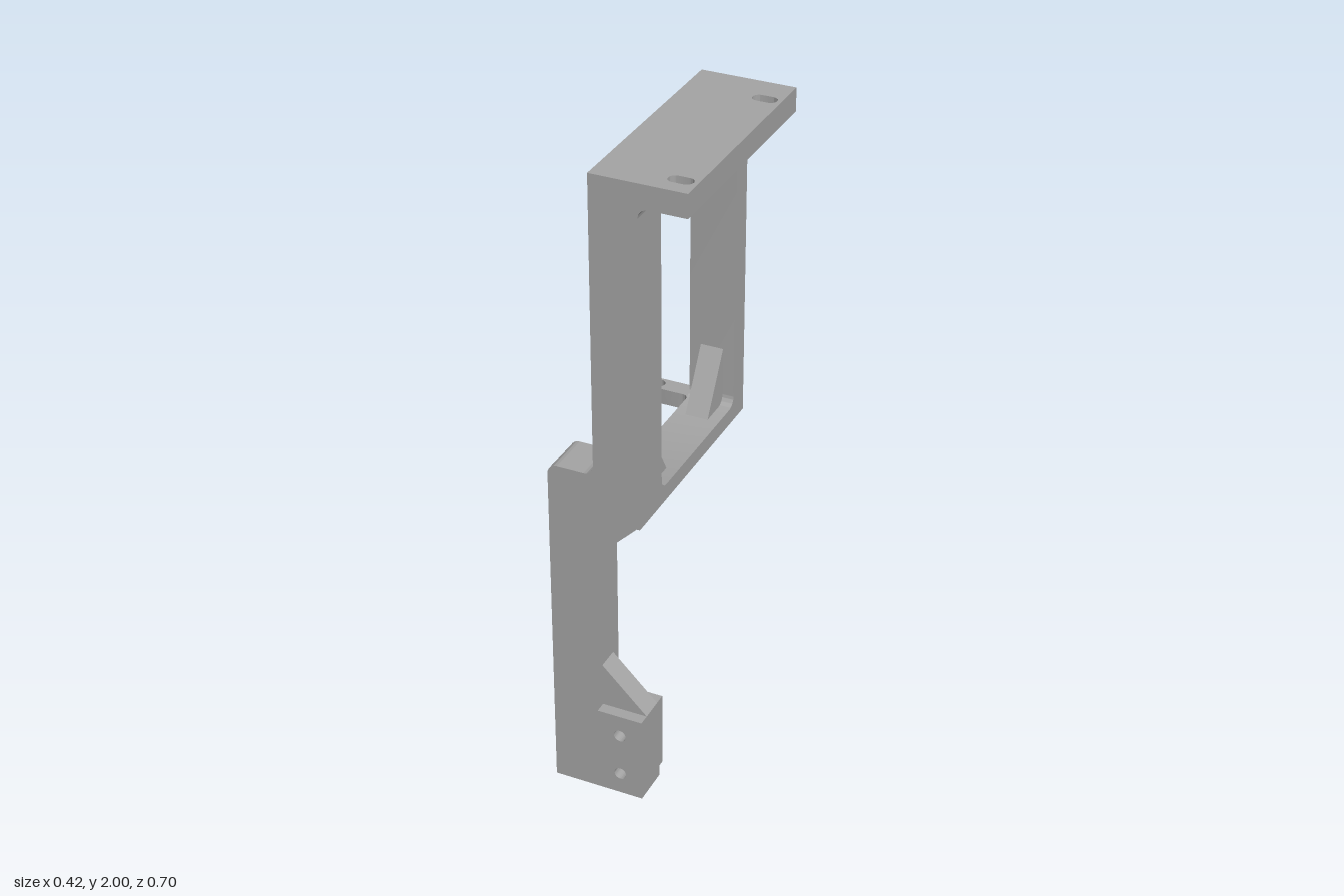
import * as THREE from 'three';
import { toCreasedNormals } from 'three/addons/utils/BufferGeometryUtils.js';

const grey = new THREE.MeshStandardMaterial({ color: 0xa5a5a5 });
grey.name = 'machined grey';

const polygon = (pts) => new THREE.Shape(pts.map(([x, y]) => new THREE.Vector2(x, y)));

function circle(x, y, r) {
  return new THREE.Path().absarc(x, y, r, 0, Math.PI * 2, true);
}

function roundedRect(x0, y0, x1, y1, r) {
  const p = new THREE.Path();
  p.absarc(x1 - r, y1 - r, r, 0, Math.PI / 2);
  p.absarc(x0 + r, y1 - r, r, Math.PI / 2, Math.PI);
  p.absarc(x0 + r, y0 + r, r, Math.PI, Math.PI * 1.5);
  p.absarc(x1 - r, y0 + r, r, Math.PI * 1.5, Math.PI * 2);
  p.closePath();
  return p;
}

// Extrudes a shape from "from" to "to" along an axis.
// Shape coordinates: z -> (x, y), x -> (-z, y), y -> (x, -z).
function solid(name, shape, axis, from, to) {
  let g = new THREE.ExtrudeGeometry(shape, { depth: to - from, bevelEnabled: false, curveSegments: 12 });
  g.translate(0, 0, from);
  if (axis === 'x') g.rotateY(Math.PI / 2);
  if (axis === 'y') g.rotateX(-Math.PI / 2);
  g = toCreasedNormals(g, 0.5);
  const mesh = new THREE.Mesh(g, grey);
  mesh.name = name;
  return mesh;
}

export function createModel() {
  const group = new THREE.Group();
  group.name = 'bracket';

  // Upper frame with rounded opening
  const frame = polygon([[-0.35, 0.95], [0.35, 0.95], [0.35, 2], [-0.35, 2]]);
  frame.holes.push(roundedRect(-0.21, 1.0, 0.28, 1.93, 0.03));
  group.add(solid('frame', frame, 'x', -0.07, 0.07));

  // Top flange with two slots
  const flange = polygon([[0.07, -0.35], [0.21, -0.35], [0.21, 0.35], [0.07, 0.35]]);
  for (const z of [-0.247, 0.287]) flange.holes.push(roundedRect(0.126, -z - 0.0195, 0.197, -z + 0.0195, 0.0194));
  group.add(solid('topFlange', flange, 'y', 1.93, 2));

  // Fillets beneath the flange, one per upright
  const fillet = new THREE.Shape();
  fillet.moveTo(0.07, 1.93);
  fillet.lineTo(0.07, 1.9);
  fillet.absarc(0.1, 1.9, 0.03, Math.PI, Math.PI / 2, true);
  fillet.closePath();
  group.add(solid('frontFlangeFillet', fillet, 'z', 0.21, 0.35));
  group.add(solid('rearFlangeFillet', fillet, 'z', -0.35, -0.28));

  // Offset leg and foot in one profile, with two screw holes
  const leg = new THREE.Shape();
  leg.moveTo(-0.21, 0.035);
  leg.lineTo(0.07, 0.035);
  leg.lineTo(0.07, 0.28);
  leg.lineTo(-0.07, 0.28);
  leg.lineTo(-0.07, 1.12);
  leg.absarc(-0.1, 1.12, 0.03, 0, -Math.PI / 2, true);
  leg.lineTo(-0.18, 1.09);
  leg.absarc(-0.18, 1.06, 0.03, Math.PI / 2, Math.PI);
  leg.closePath();
  for (const y of [0.07, 0.21]) leg.holes.push(circle(0, y, 0.019));
  group.add(solid('leg', leg, 'z', 0.21, 0.35));

  // Foot's stepped base
  const base = polygon([[-0.21, 0], [0.07, 0], [0.07, 0.035], [-0.21, 0.035]]);
  group.add(solid('footStep', base, 'z', 0.23, 0.35));

  // Leg gussets
  const lower = polygon([[-0.07, 0.28], [0.07, 0.28], [-0.07, 0.42]]);
  const upper = polygon([[-0.07, 0.95], [-0.07, 0.81], [0.07, 0.95]]);
  group.add(solid('lowerLegGusset', lower, 'z', 0.245, 0.315));
  group.add(solid('upperLegGusset', upper, 'z', 0.245, 0.315));

  // Corner gussets inside the opening
  for (const [u, su] of [[-0.21, 1], [0.28, -1]]) {
    for (const [v, sv] of [[1.0, 1], [1.93, -1]]) {
      const gusset = polygon([[u, v], [u + su * 0.105, v], [u, v + sv * 0.18]]);
      group.add(solid('cornerGusset', gusset, 'x', -0.035, 0.035));
    }
  }

  // Rear lugs with flared roots and eyelets
  for (const z of [-0.302, 0.046]) {
    const c = -z, w = 0.028, r = 0.02;
    const lug = new THREE.Shape();
    // the rearmost flare is trimmed by the frame edge
    lug.moveTo(-0.07, c + w + r);
    lug.absarc(-0.07 - r, c + w + r, r, 0, -Math.PI / 2, true);
    lug.lineTo(-0.18, c + w);
    lug.absarc(-0.18, c, w, Math.PI / 2, Math.PI * 1.5);
    lug.lineTo(-0.07 - r, c - w);
    lug.absarc(-0.07 - r, c - w - r, r, Math.PI / 2, 0, true);
    lug.closePath();
    lug.holes.push(circle(-0.18, c, 0.02));
    group.add(solid('rearLug', lug, 'y', 0.95, 1.0));
  }

  return group;
}
